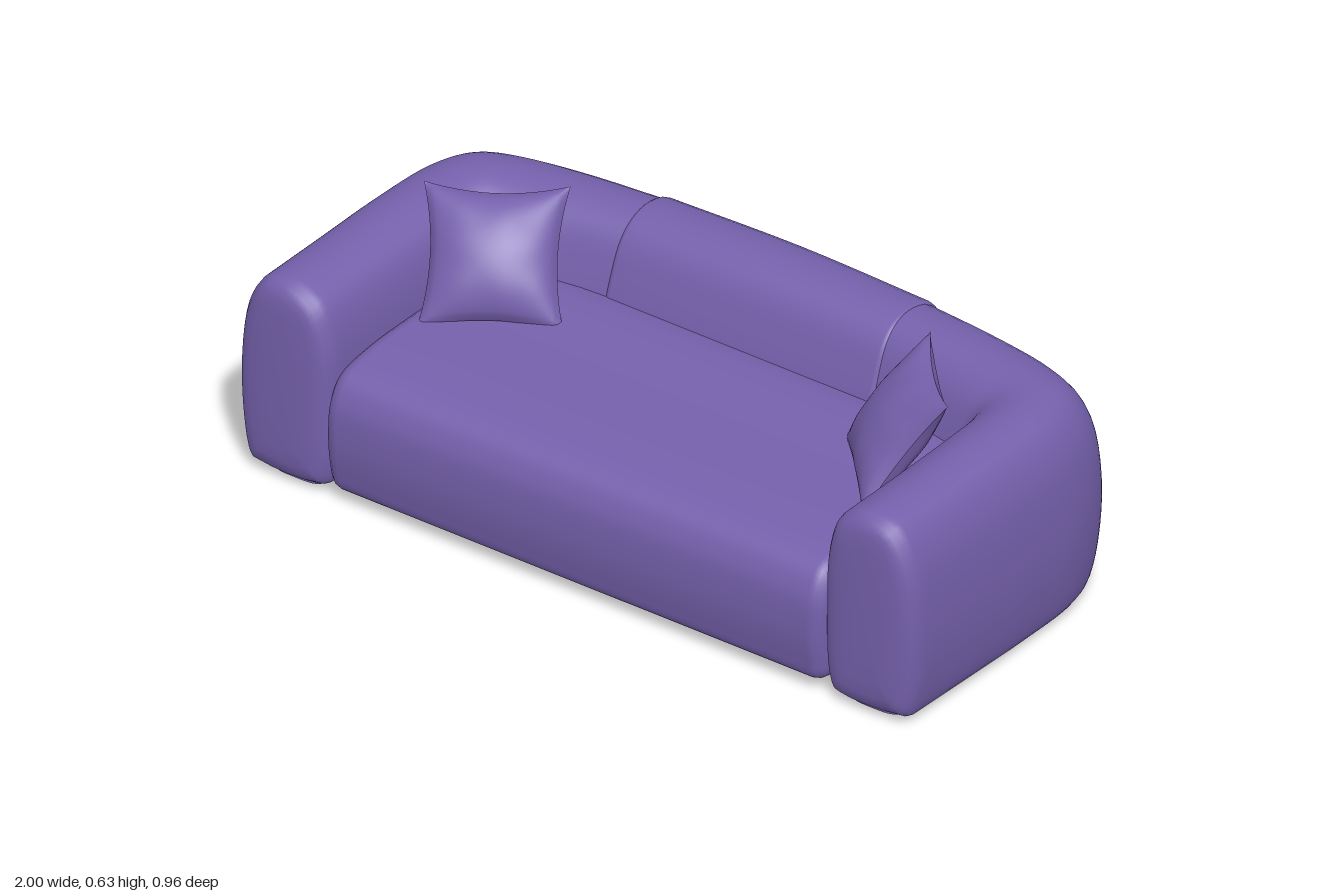
import * as THREE from 'three';
import { mergeGeometries } from 'three/addons/utils/BufferGeometryUtils.js';

const V = (x, y, z) => new THREE.Vector3(x, y, z);
const BASE = 0.015;

// Closed skin through a list of rings, with both ends filled
function loft(rings) {
  const n = rings[0].length, pos = [], idx = [];
  rings.forEach(r => r.forEach(p => pos.push(p.x, p.y, p.z)));
  for (let i = 0; i < rings.length - 1; i++) for (let j = 0; j < n; j++) {
    const a = i * n + j, b = i * n + (j + 1) % n;
    idx.push(a, b, a + n, b, b + n, a + n);
  }
  [0, rings.length - 1].forEach((k, end) => {
    const c = rings[k].reduce((s, p) => s.add(p), V(0, 0, 0)).divideScalar(n), ci = pos.length / 3;
    pos.push(c.x, c.y, c.z);
    for (let j = 0; j < n; j++) {
      const a = k * n + j, b = k * n + (j + 1) % n;
      if (end) idx.push(a, b, ci); else idx.push(b, a, ci);
    }
  });
  // turn the faces outward if the enclosed volume is negative
  const at = i => V(pos[i * 3], pos[i * 3 + 1], pos[i * 3 + 2]);
  let vol = 0;
  for (let i = 0; i < idx.length; i += 3) vol += at(idx[i]).dot(at(idx[i + 1]).cross(at(idx[i + 2])));
  if (vol < 0) idx.reverse();
  const g = new THREE.BufferGeometry();
  g.setAttribute('position', new THREE.Float32BufferAttribute(pos, 3));
  g.setIndex(idx);
  g.computeVertexNormals();
  return g;
}

const smoothLoop = (pts, n) =>
  new THREE.CatmullRomCurve3(pts.map(([a, b]) => V(a, b, 0)), true, 'centripetal').getPoints(n).slice(0, n);

// Cushion cross-sections: across (-1 inner, 1 outer) and height (0 to 1)
const lower = [[-0.7, 0], [0.55, 0], [0.8, 0.03], [0.94, 0.2], [1, 0.48], [0.9, 0.76], [0.6, 0.94], [0.1, 1]];
const armProfile = smoothLoop([...lower, [-0.45, 0.97], [-0.8, 0.88], [-0.97, 0.7], [-1, 0.45], [-0.98, 0.15], [-0.88, 0.03]], 56);
const backProfile = smoothLoop([...lower, [-0.35, 0.97], [-0.62, 0.89], [-0.8, 0.77], [-0.98, 0.6], [-1, 0.45], [-0.98, 0.15], [-0.88, 0.03]], 56);

// Rounded end steps: how far to push out and how much to draw in
const roundEnd = r => [0.25, 0.5, 0.75, 1].map(k => k * Math.PI / 2)
  .map(a => [r * Math.sin(a), r * (1 - Math.cos(a))]).concat([[r * 1.08, r * 1.7]]);

// Upholstered run between inner [x, z, blend to back profile] and outer [x, z, top] lines
function bolster(inner, outer, r0, r1, steps) {
  const curve = a => new THREE.CatmullRomCurve3(a.map(([x, z, y]) => V(x, y, z)), false, 'catmullrom', 0.5);
  const ci = curve(inner), co = curve(outer);
  const ring = (t, push, inset, dir) => {
    const a = ci.getPoint(t), b = co.getPoint(t);
    const top = b.y, mix = THREE.MathUtils.clamp(a.y, 0, 1);
    a.y = b.y = 0;
    const half = a.distanceTo(b) / 2, h = top - BASE;
    return armProfile.map((p, i) => {
      const q = p.clone().lerp(backProfile[i], mix);
      const u = q.x * (1 - inset / half), f = 0.5 + (q.y - 0.5) * (1 - 2 * inset / h);
      const out = a.clone().lerp(b, (u + 1) / 2).addScaledVector(dir, push);
      out.y = BASE + h * f;
      return out;
    });
  };
  const flat = (t, s) => { const d = ci.getTangent(t); d.y = 0; return d.normalize().multiplyScalar(s); };
  const rings = [];
  if (r0) roundEnd(r0).reverse().forEach(([p, i]) => rings.push(ring(0, p, i, flat(0, -1))));
  for (let i = 0; i <= steps; i++) rings.push(ring(i / steps, 0, 0, V(0, 0, 0)));
  if (r1) roundEnd(r1).forEach(([p, i]) => rings.push(ring(1, p, i, flat(1, 1))));
  return loft(rings);
}

// Square throw pillow with pinched corners and faint creases near the edges
function pillowGeometry(half, thick) {
  const g = new THREE.PlaneGeometry(2, 2, 32, 32), p = g.attributes.position;
  for (let i = 0; i < p.count; i++) {
    const u = p.getX(i), v = p.getY(i), du = 1 - u * u, dv = 1 - v * v;
    const puff = Math.pow(Math.max(du * dv, 0), 0.55);
    const crease = 0.05 * du * dv * (Math.sin(9 * u) * v * v + Math.sin(9 * v) * u * u);
    p.setXYZ(i, half * u * (1 - 0.13 * dv), half * v * (1 - 0.13 * du), thick * (puff + crease));
  }
  g.computeVertexNormals();
  return mergeGeometries([g, g.clone().rotateY(Math.PI)]);
}

export function createModel() {
  const model = new THREE.Group();
  const fabric = new THREE.MeshStandardMaterial({ color: 0x7460ab });
  fabric.name = 'purple fabric';
  const add = (name, geo) => {
    const m = new THREE.Mesh(geo, fabric);
    m.name = name;
    model.add(m);
    return m;
  };

  // Arms, each wrapping round its corner into the back
  const inner = [[0.725, 0.42, 0], [0.725, 0.2, 0], [0.722, 0.03, 0], [0.715, -0.06, 0.1], [0.69, -0.1, 0.4],
    [0.63, -0.115, 0.7], [0.52, -0.135, 1], [0.37, -0.16, 1]];
  const outer = [[1, 0.42, 0.54], [1, 0.2, 0.546], [1, 0, 0.552], [0.988, -0.21, 0.556], [0.93, -0.345, 0.56],
    [0.8, -0.41, 0.56], [0.6, -0.441, 0.56], [0.37, -0.46, 0.56]];
  for (const s of [1, -1]) {
    const flip = ([x, z, k]) => [s * x, z, k];
    add(s > 0 ? 'leftArm' : 'rightArm', bolster(inner.map(flip), outer.map(flip), 0.05, 0, 56));
  }

  // Middle section of the back, slightly proud of its neighbours
  add('backCentre', bolster(
    [[-0.38, -0.15, 1], [0, -0.15, 1], [0.38, -0.15, 1]],
    [[-0.38, -0.472, 0.563], [0, -0.48, 0.568], [0.38, -0.472, 0.563]], 0.018, 0.018, 20));

  // Seat cushion: side section (z, y) carried across the width
  const seatLoop = smoothLoop([[-0.2, 0.03], [0.1, 0.025], [0.41, 0.025], [0.455, 0.04], [0.47, 0.09], [0.478, 0.18],
    [0.469, 0.27], [0.43, 0.33], [0.33, 0.356], [0.1, 0.366], [-0.2, 0.36]], 64);
  const seatRing = (x, inset) => seatLoop.map(p => V(x,
    0.195 + (p.y - 0.195) * (1 - inset / 0.17), 0.139 + (p.x - 0.139) * (1 - inset / 0.339)));
  const end = roundEnd(0.045), seatRings = [];
  [...end].reverse().forEach(([p, i]) => seatRings.push(seatRing(-0.692 - p, i)));
  for (let i = 0; i <= 8; i++) seatRings.push(seatRing(-0.692 + 0.173 * i, 0));
  end.forEach(([p, i]) => seatRings.push(seatRing(0.692 + p, i)));
  add('seat', loft(seatRings));

  // Panel under the seat
  add('basePanel', new THREE.BoxGeometry(1.36, 0.02, 0.52)).position.set(0, 0.028, 0.13);

  // Low pads under the arms
  for (const s of [1, -1]) for (const [z, depth] of [[0.38, 0.1], [-0.23, 0.16]]) {
    const pad = add('foot', new THREE.CylinderGeometry(0.5, 0.48, 0.02, 32));
    const p = pad.geometry.attributes.position;
    // square off the round pad
    for (let i = 0; i < p.count; i++) {
      const x = p.getX(i), w = p.getZ(i), k = Math.pow(x ** 4 + w ** 4, 0.25) || 1;
      const r = Math.hypot(x, w) / k;
      p.setXYZ(i, x * r * 0.15, p.getY(i), w * r * depth);
    }
    pad.geometry.computeVertexNormals();
    pad.position.set(s * 0.85, 0.01, z);
  }

  // Throw pillows leaning in the corners, placed by their side and up directions
  const pillow = pillowGeometry(0.172, 0.07);
  [['rightPillow', V(-0.595, 0.49, 0), V(0.28, 0.005, -0.175), V(-0.1, 0.257, -0.17)],
    ['leftPillow', V(0.605, 0.49, 0.018), V(0.24, 0, 0.245), V(0.13, 0.25, -0.125)]].forEach(([name, at, right, up]) => {
    const x = right.normalize(), z = x.clone().cross(up).normalize(), y = z.clone().cross(x);
    const m = add(name, pillow);
    m.quaternion.setFromRotationMatrix(new THREE.Matrix4().makeBasis(x, y, z));
    m.position.copy(at);
  });

  return model;
}
